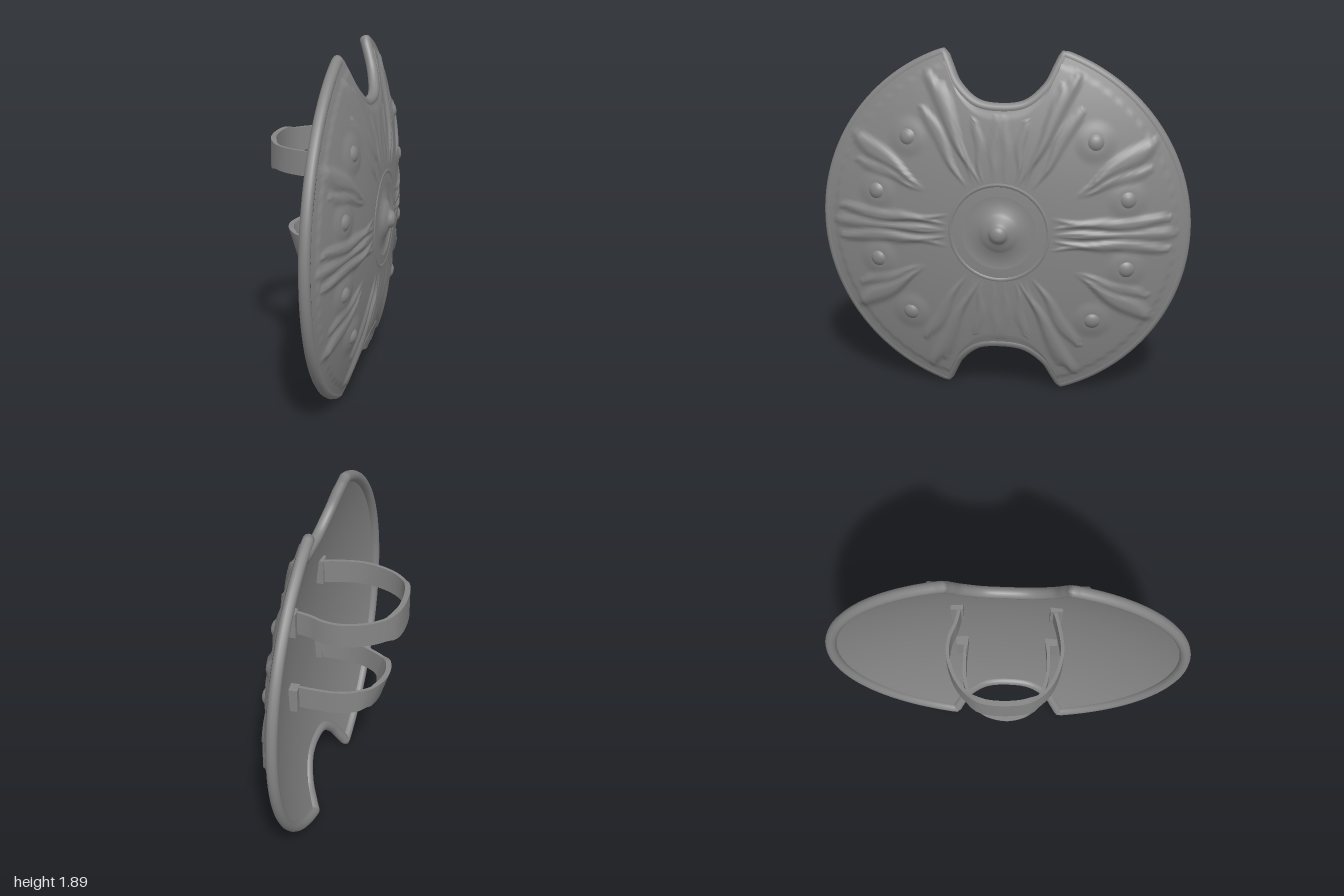
import * as THREE from 'three';
import { toCreasedNormals } from 'three/addons/utils/BufferGeometryUtils.js';

const CY = 0.945; // height of the shield centre
const mat = new THREE.MeshStandardMaterial({ color: 0x858585 });
const { smoothstep, lerp } = THREE.MathUtils;
const dome = (r) => 0.264 - 0.169 * Math.pow(r, 2.2);

function add(parent, name, geometry) {
  const mesh = new THREE.Mesh(geometry, mat);
  mesh.name = name;
  parent.add(mesh);
  return mesh;
}

// Outline as [z, v] points: two circular arcs joined by two notches
function outlinePoints() {
  const notch = new THREE.CatmullRomCurve3(
    [[-0.318, 0.916], [-0.287, 0.85], [-0.243, 0.765], [-0.135, 0.672], [0, 0.65],
      [0.135, 0.672], [0.243, 0.765], [0.287, 0.85], [0.318, 0.916]]
      .map(([z, v]) => new THREE.Vector3(z, v, 0)));
  const half = notch.getSpacedPoints(48).map((p) => [p.x, p.y]);
  const a0 = Math.atan2(0.318, 0.916);
  for (let i = 1; i < 130; i++) {
    const a = lerp(a0, Math.PI - a0, i / 130);
    half.push([0.97 * Math.sin(a), 0.97 * Math.cos(a)]);
  }
  return [...half, ...half.map(([z, v]) => [-z, -v])];
}

// Raised leaves in one quarter: start z, v, end z, v, half width, height
const LEAVES = [
  [0.28, 0.0, 0.93, 0.0, 0.024, 0.013], [0.28, 0.04, 0.9, 0.08, 0.03, 0.015],
  [0.27, 0.08, 0.72, 0.045, 0.024, 0.009],
  [0.4, 0.22, 0.82, 0.5, 0.05, 0.017], [0.4, 0.21, 0.79, 0.36, 0.028, 0.011],
  [0.11, 0.26, 0.4, 0.84, 0.038, 0.016], [0.14, 0.26, 0.33, 0.78, 0.022, 0.011],
  [0.18, 0.24, 0.42, 0.66, 0.032, 0.011],
  [0.04, 0.27, 0.02, 0.62, 0.02, 0.004], [0.09, 0.27, 0.13, 0.6, 0.02, 0.006],
];
const STUDS = [[0.495, 0.49], [0.67, 0.19]];

// Height of the embossing at a point of the face
function relief(z, v) {
  const u = Math.abs(z), w = Math.abs(v), r = Math.hypot(u, w);
  let h = 0;
  for (const [u0, w0, u1, w1, width, height] of LEAVES) {
    const du = u1 - u0, dw = w1 - w0, len = Math.hypot(du, dw);
    const t = ((u - u0) * du + (w - w0) * dw) / (len * len);
    if (t <= 0 || t >= 1) continue;
    const wave = 0.008 * Math.sin(t * 9 + u1 * 20);
    const d = Math.abs(((u - u0) * dw - (w - w0) * du) / len + wave);
    const half = width * Math.sin(Math.PI * Math.pow(t, 1.8)) + 0.004;
    h = Math.max(h, height * (1 - smoothstep(d, half * 0.35, half + 0.008)) * Math.min(1, 4 * t));
  }
  for (const [su, sw] of STUDS) {
    const d = Math.hypot(u - su, w - sw);
    h += 0.01 * (1 - smoothstep(d, 0.045, 0.12));
  }
  // raised field that stops at a jagged border
  const jag = 0.915 + 0.014 * Math.abs(((Math.atan2(w, u) * 24) % 2) - 1);
  return h + 0.006 * (1 - smoothstep(r, jag - 0.01, jag + 0.012));
}

// Sheet of rings running from the centre to the outline
function sheet(outline, rings, rMin, heightAt, flip) {
  const n = outline.length, pos = [], index = [];
  for (let j = 0; j <= rings; j++) {
    for (const [oz, ov] of outline) {
      const R = Math.hypot(oz, ov), r = lerp(rMin, R, j / rings);
      const z = (oz / R) * r, v = (ov / R) * r;
      pos.push(heightAt(z, v, r, R), CY + v, z);
    }
  }
  for (let j = 0; j < rings; j++) {
    for (let i = 0; i < n; i++) {
      const a = j * n + i, b = j * n + ((i + 1) % n), c = a + n, d = b + n;
      if (flip) index.push(a, d, c, a, b, d);
      else index.push(a, c, d, a, d, b);
    }
  }
  const g = new THREE.BufferGeometry();
  g.setAttribute('position', new THREE.Float32BufferAttribute(pos, 3));
  g.setIndex(index);
  g.computeVertexNormals();
  return g;
}

// Lathe whose axis points along +x; profile is [radius, height]
function latheX(profile, segments) {
  const g = new THREE.LatheGeometry(profile.map(([r, h]) => new THREE.Vector2(r, h)), segments);
  return g.rotateZ(-Math.PI / 2);
}

// Flat band following [x, z] points, with a flared and leaning grip in the middle
function strapGeometry(path, y0, y1, lean) {
  const curve = new THREE.CatmullRomCurve3(path.map(([x, z]) => new THREE.Vector3(x, 0, z)));
  const n = 64, pos = [], index = [];
  for (let i = 0; i <= n; i++) {
    const t = i / n, p = curve.getPointAt(t), T = curve.getTangentAt(t);
    const mid = Math.abs(t - 0.5);
    const flare = 0.014 * (1 - smoothstep(mid, 0.09, 0.14));
    const leaning = lean * (1 - smoothstep(mid, 0.08, 0.2));
    for (const [side, top] of [[1, 0], [1, 1], [-1, 1], [-1, 0]]) {
      const off = side * (0.009 + 0.4 * flare);
      const tilt = top ? -leaning : leaning;
      pos.push(p.x - T.z * off + tilt, top ? y1 + flare : y0 - flare, p.z + T.x * off);
    }
  }
  for (let i = 0; i < n; i++) {
    for (let k = 0; k < 4; k++) {
      const a = i * 4 + k, b = i * 4 + ((k + 1) % 4);
      index.push(a, a + 4, b + 4, a, b + 4, b);
    }
  }
  const g = new THREE.BufferGeometry();
  g.setAttribute('position', new THREE.Float32BufferAttribute(pos, 3));
  g.setIndex(index);
  return toCreasedNormals(g, 0.7);
}

export function createModel() {
  const model = new THREE.Group();
  model.name = 'shield';
  const body = new THREE.Group();
  body.name = 'shieldBody';
  body.rotation.y = -0.04;
  model.add(body);

  // Embossed face, plain back and rolled rim that the face runs into
  const outline = outlinePoints();
  add(body, 'face', sheet(outline, 72, 0.2, (z, v, r, R) =>
    dome(r) + 0.02 + relief(z, v) * smoothstep(R - r, 0, 0.06), false));
  add(body, 'back', sheet(outline, 14, 0.001, (z, v, r) => dome(r) - 0.015, true));
  const rimPath = new THREE.CatmullRomCurve3(outline.map(([z, v]) => {
    const r = Math.hypot(z, v);
    return new THREE.Vector3(dome(r) - 0.004 - 0.008 * r ** 4, CY + v, z);
  }), true);
  add(body, 'rim', new THREE.TubeGeometry(rimPath, 480, 0.03, 12, true));

  // Central boss with its ring and broad stepped knob
  const boss = add(body, 'centreBoss', latheX([
    [0.282, 0.245], [0.278, 0.276], [0.265, 0.285], [0.252, 0.282], [0.245, 0.27], [0.238, 0.281],
    [0.228, 0.28], [0.215, 0.268], [0.16, 0.271], [0.115, 0.28], [0.1, 0.291], [0.08, 0.3],
    [0.062, 0.307], [0.05, 0.312], [0.046, 0.322], [0.034, 0.335], [0.018, 0.341], [0, 0.342]], 48));
  boss.position.y = CY;

  // Domed studs, mirrored into all four quarters
  for (const [u, w] of STUDS) {
    const r = Math.hypot(u, w), slope = 0.372 * r ** 0.2;
    for (const sz of [1, -1]) {
      for (const sy of [1, -1]) {
        const stud = add(body, 'stud', latheX([[0.06, -0.008], [0.052, 0.008], [0.044, 0.012],
          [0.036, 0.02], [0.024, 0.027], [0.01, 0.03], [0, 0.03]], 20));
        stud.position.set(dome(r) + 0.022, CY + sy * w, sz * u);
        stud.rotation.set(0, -sz * slope * u, sy * slope * w);
      }
    }
  }

  // Arm strap and hand strap with their end tabs
  const straps = [
    ['armStrap', 1.24, 1.375, 0, [[0.235, -0.24], [0.12, -0.268], [0.05, -0.297], [-0.05, -0.307],
      [-0.2, -0.255], [-0.3, -0.155], [-0.325, 0], [-0.3, 0.135], [-0.22, 0.225], [-0.05, 0.285],
      [0.12, 0.268], [0.22, 0.24]]],
    ['handStrap', 0.73, 0.865, 0.025, [[0.24, -0.23], [0.13, -0.237], [0, -0.235], [-0.1, -0.205],
      [-0.18, -0.13], [-0.215, 0], [-0.18, 0.12], [-0.1, 0.185], [0, 0.222], [0.13, 0.232],
      [0.23, 0.23]]],
  ];
  for (const [name, y0, y1, lean, path] of straps) {
    const strap = new THREE.Group();
    strap.name = name;
    model.add(strap);
    add(strap, 'band', strapGeometry(path, y0, y1, lean));
    for (const end of [path[0], path[path.length - 1]]) {
      const tab = add(strap, 'endTab', new THREE.BoxGeometry(0.05, y1 - y0 + 0.01, 0.065));
      tab.position.set(end[0] - 0.015, (y0 + y1) / 2, end[1] + Math.sign(end[1]) * 0.02);
    }
  }
  return model;
}
